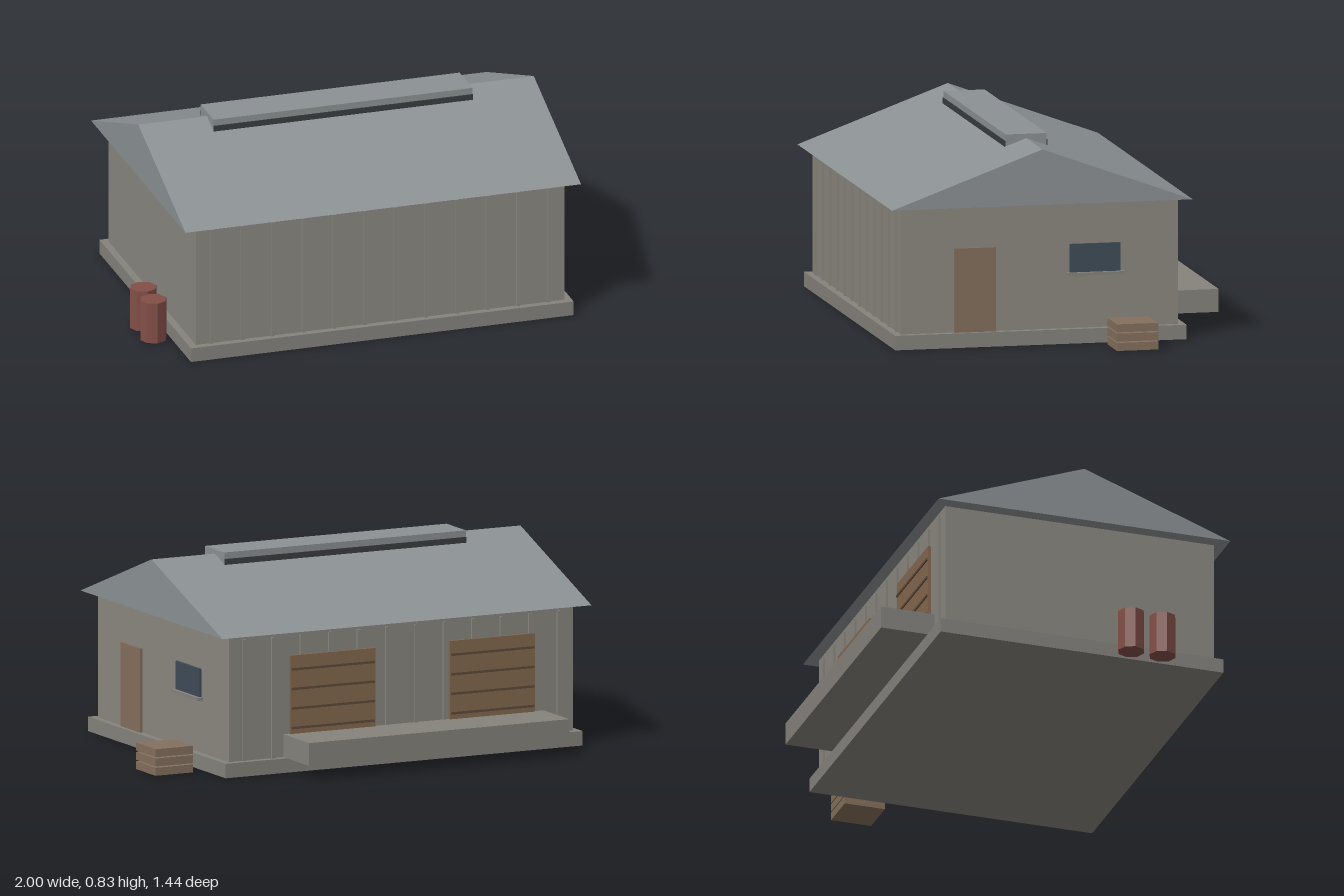
import * as THREE from 'three';

const mat = (color) => new THREE.MeshStandardMaterial({ color, flatShading: true });

export function createModel() {
  const model = new THREE.Group();
  const wall = mat(0x8b8880), concrete = mat(0x86837d), roofMat = mat(0x8c9294);
  const dark = mat(0x3a3d40), wood = mat(0x84705c), slatMat = mat(0x5f4c3a);
  const glass = mat(0x3f4c57), rust = mat(0x824f47), shutter = mat(0x84694e);

  const add = (name, geometry, material, parent = model) => {
    const mesh = new THREE.Mesh(geometry, material);
    mesh.name = name;
    parent.add(mesh);
    return mesh;
  };
  // Box given by its extents along each axis
  const box = (name, material, [x0, x1], [y0, y1], [z0, z1], parent) => {
    const mesh = add(name, new THREE.BoxGeometry(x1 - x0, y1 - y0, z1 - z0), material, parent);
    mesh.position.set((x0 + x1) / 2, (y0 + y1) / 2, (z0 + z1) / 2);
    return mesh;
  };
  const group = (name) => {
    const g = new THREE.Group();
    g.name = name;
    model.add(g);
    return g;
  };

  // Building shell
  box('foundation', concrete, [-0.875, 0.765], [0, 0.06], [-0.52, 0.7]);
  box('walls', wall, [-0.845, 0.735], [0.06, 0.582], [-0.49, 0.67]);

  // Solid gable roof, extruded along x
  const gable = new THREE.Shape([
    new THREE.Vector2(-0.72, 0.582), new THREE.Vector2(0.54, 0.582), new THREE.Vector2(-0.09, 0.812),
  ]);
  const roofGeometry = new THREE.ExtrudeGeometry(gable, { depth: 1.695, bevelEnabled: false });
  roofGeometry.rotateY(Math.PI / 2);
  add('roof', roofGeometry, roofMat).position.x = -0.905;

  // Ridge vent with dark louvre strips along both sides
  const vent = group('ridgeVent');
  box('ventBox', roofMat, [-0.61, 0.5], [0.76, 0.83], [0.004, 0.176], vent);
  for (const z of [0, 0.174])
    box('ventLouvre', dark, [-0.61, 0.5], [0.776, 0.803], [z, z + 0.006], vent);

  // Vertical wall ribs on the front and back
  const ribs = group('wallRibs');
  for (let i = 0; i < 12; i++) {
    const x = -0.778 + i * 0.1313;
    box('frontRib', wall, [x - 0.007, x + 0.007], [0.06, 0.562], [0.665, 0.678], ribs);
    box('backRib', wall, [x - 0.007, x + 0.007], [0.06, 0.562], [-0.498, -0.485], ribs);
  }

  // Side door and window
  box('sideDoor', wood, [0.73, 0.747], [0.06, 0.408], [0.275, 0.448]);
  const window = group('sideWindow');
  box('windowPane', glass, [0.73, 0.745], [0.288, 0.408], [-0.247, -0.036], window);
  box('windowSill', concrete, [0.73, 0.76], [0.278, 0.291], [-0.262, -0.024], window);

  // Loading dock with two slatted doors
  box('loadingDock', concrete, [-0.71, 0.485], [0.06, 0.155], [-0.72, -0.488]);
  for (const x of [0.263, -0.47]) {
    const door = group('loadingDoor');
    box('doorPanel', shutter, [x - 0.195, x + 0.195], [0.15, 0.48], [-0.502, -0.488], door);
    for (let i = 0; i < 4; i++) {
      const y = 0.18 + i * 0.081;
      box('doorSlat', slatMat, [x - 0.19, x + 0.19], [y - 0.005, y + 0.005], [-0.507, -0.495], door);
    }
  }

  // Two barrels beside the left-hand end
  for (const z of [0.278, 0.413])
    add('barrel', new THREE.CylinderGeometry(0.056, 0.056, 0.175, 8), rust).position.set(-0.944, 0.0875, z);

  // Stack of pallets
  const pallets = group('palletStack');
  for (let i = 0; i < 3; i++) {
    const y = 0.002 + i * 0.0385;
    box('pallet', wood, [0.825, 0.997], [y, y + 0.033], [-0.347, -0.174], pallets);
  }

  return model;
}
